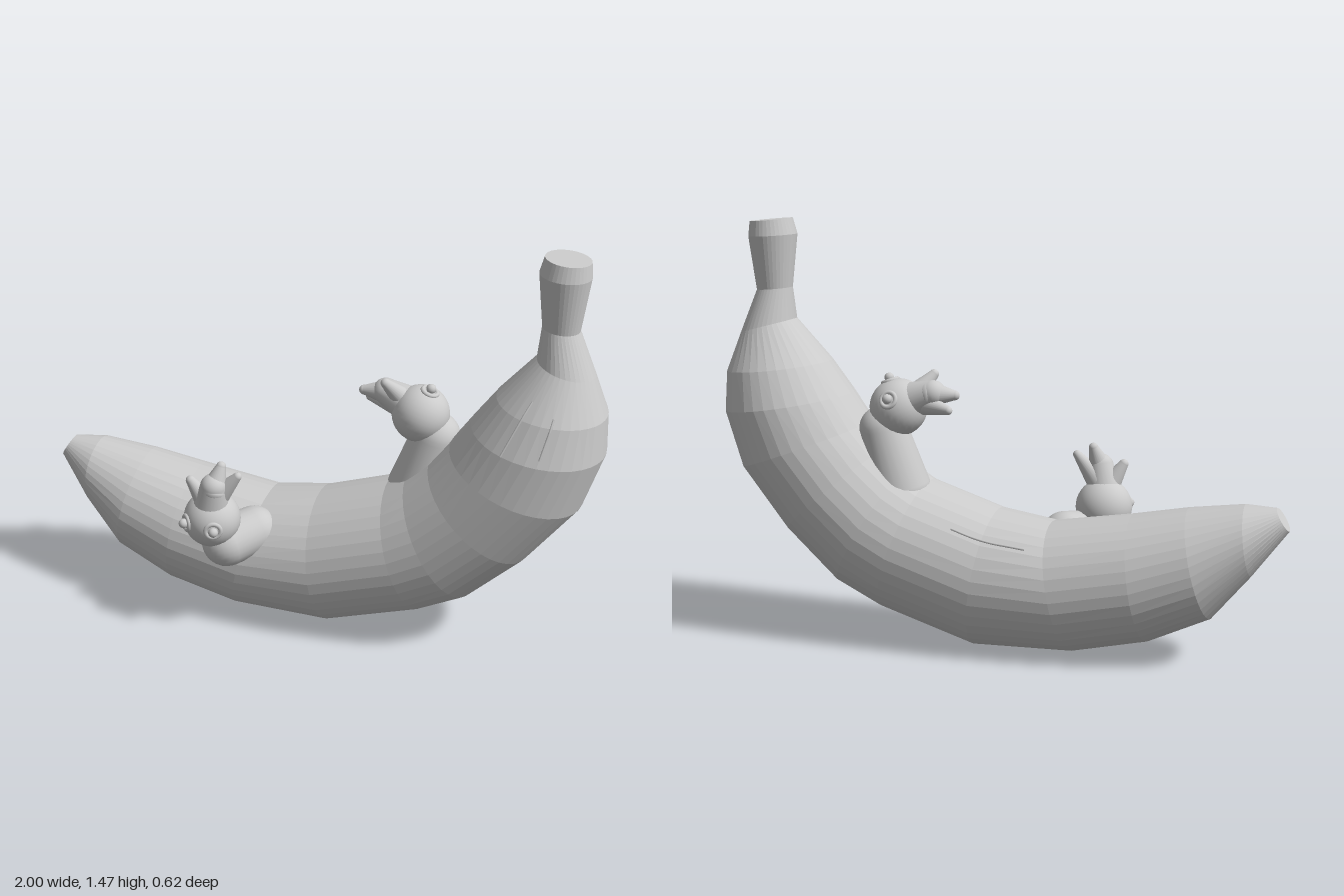
import * as THREE from 'three';

const V = (x, y, z) => new THREE.Vector3(x, y, z);
const skin = new THREE.MeshStandardMaterial({ color: 0xcccccc, flatShading: true });
const smooth = new THREE.MeshStandardMaterial({ color: 0xcccccc });
const MID_Z = -0.065;
const SIDES = 36;

// Fruit cross-sections: inner edge x, y, outer edge x, y, half width in z
const RINGS = [
  [-0.955, 0.555, -1.0, 0.48, 0.045],
  [-0.85, 0.56, -0.88, 0.32, 0.125],
  [-0.66, 0.535, -0.75, 0.165, 0.19],
  [-0.47, 0.50, -0.54, 0.07, 0.225],
  [-0.19, 0.457, -0.285, 0.016, 0.243],
  [0.0, 0.49, 0.07, 0.01, 0.25],
  [0.25, 0.575, 0.41, 0.12, 0.25],
  [0.32, 0.62, 0.57, 0.20, 0.25],
  [0.40, 0.69, 0.76, 0.38, 0.25],
  [0.47, 0.77, 0.93, 0.60, 0.25],
  [0.54, 0.87, 0.995, 0.80, 0.235],
  [0.62, 0.98, 0.99, 0.94, 0.19],
  [0.745, 1.125, 0.94, 1.075, 0.105],
  [0.755, 1.235, 0.88, 1.225, 0.064],
  [0.735, 1.42, 0.905, 1.41, 0.087],
  [0.75, 1.475, 0.90, 1.462, 0.075],
];

// Point on the fruit skin: u runs along the rings, a runs around them
function skinPoint(u, a) {
  const i = Math.min(Math.floor(u), RINGS.length - 2);
  const [ix, iy, ox, oy, w] = RINGS[i].map((v, k) => THREE.MathUtils.lerp(v, RINGS[i + 1][k], u - i));
  const c = Math.cos(a) / 2;
  return V((ix + ox) / 2 + (ix - ox) * c, (iy + oy) / 2 + (iy - oy) * c, MID_Z + w * Math.sin(a));
}

function fruitGeometry() {
  const pos = [], index = [], last = RINGS.length - 1;
  for (let i = 0; i <= last; i++)
    for (let j = 0; j < SIDES; j++) pos.push(...skinPoint(i, (j / SIDES) * Math.PI * 2).toArray());
  for (const r of [RINGS[0], RINGS[last]]) pos.push((r[0] + r[2]) / 2, (r[1] + r[3]) / 2, MID_Z);
  const startCap = (last + 1) * SIDES;
  for (let j = 0; j < SIDES; j++) {
    const k = (j + 1) % SIDES;
    for (let i = 0; i < last; i++) {
      const a = i * SIDES + j, b = i * SIDES + k;
      index.push(a, b, a + SIDES, b, b + SIDES, a + SIDES);
    }
    index.push(startCap, k, j, startCap + 1, last * SIDES + j, last * SIDES + k);
  }
  const g = new THREE.BufferGeometry();
  g.setAttribute('position', new THREE.Float32BufferAttribute(pos, 3));
  g.setIndex(index);
  g.computeVertexNormals();
  return g;
}

function add(parent, name, geometry, material = smooth) {
  const m = new THREE.Mesh(geometry, material);
  m.name = name;
  parent.add(m);
  return m;
}

// Round-ended tapered limb from a to b
function limb(parent, name, a, b, ra, rb) {
  const dir = b.clone().sub(a), len = dir.length(), pts = [];
  for (let i = 0; i <= 8; i++) {
    const t = (i / 8 - 1) * Math.PI / 2;
    pts.push(new THREE.Vector2(ra * Math.cos(t), ra * Math.sin(t)));
  }
  for (let i = 0; i <= 8; i++) {
    const t = (i / 8) * Math.PI / 2;
    pts.push(new THREE.Vector2(Math.max(0, rb * Math.cos(t)), len + rb * Math.sin(t)));
  }
  const m = add(parent, name, new THREE.LatheGeometry(pts, 24));
  m.position.copy(a);
  m.quaternion.setFromUnitVectors(V(0, 1, 0), dir.normalize());
}

// Creature head: face along local +z, crest along local +y
function head(name, centre, face, crest) {
  const g = new THREE.Group();
  g.name = name;
  const z = face.clone().normalize();
  const x = crest.clone().cross(z).normalize();
  g.quaternion.setFromRotationMatrix(new THREE.Matrix4().makeBasis(x, z.clone().cross(x), z));
  g.position.copy(centre);
  add(g, 'skull', new THREE.SphereGeometry(0.1, 32, 20));

  // Eyes: raised rim with a protruding pupil
  for (const s of [-1, 1]) {
    const dir = V(s * 0.57, 0, 0.82).normalize();
    const rim = add(g, 'eyeRim', new THREE.TorusGeometry(0.026, 0.008, 10, 24));
    rim.position.copy(dir).multiplyScalar(0.095);
    rim.quaternion.setFromUnitVectors(V(0, 0, 1), dir);
    add(g, 'pupil', new THREE.SphereGeometry(0.017, 16, 12)).position.copy(dir).multiplyScalar(0.107);
  }

  // Three-lobed crest
  limb(g, 'crestBase', V(0, 0.04, 0.01), V(0.02, 0.14, 0.025), 0.068, 0.046);
  limb(g, 'crestMiddleLobe', V(0.02, 0.13, 0.025), V(0.035, 0.212, 0), 0.046, 0.017);
  limb(g, 'crestRightLobe', V(0.02, 0.09, 0), V(0.095, 0.185, -0.01), 0.042, 0.015);
  limb(g, 'crestLeftLobe', V(-0.01, 0.07, 0.02), V(-0.06, 0.15, 0.045), 0.042, 0.017);
  return g;
}

export function createModel() {
  const model = new THREE.Group();
  add(model, 'fruit', fruitGeometry(), skin);

  // Thin scars on the skin: start, end, angle around
  for (const [u0, u1, a] of [[10, 11.4, 1.2], [10.2, 11.2, 1.75], [4.3, 5.4, -0.8]]) {
    const pts = [0, 0.25, 0.5, 0.75, 1].map((t) => skinPoint(u0 + (u1 - u0) * t, a));
    add(model, 'scar', new THREE.TubeGeometry(new THREE.CatmullRomCurve3(pts), 16, 0.004, 6));
  }

  // Creature leaning out of the front
  model.add(head('frontHead', V(-0.313, 0.46, 0.19), V(-0.2, 0.03, 0.98), V(0.02, 1, 0)));
  limb(model, 'frontNeck', V(-0.2, 0.375, 0.08), V(-0.27, 0.36, 0.165), 0.085, 0.088);

  // Creature rising from the inner curve
  model.add(head('upperHead', V(0.35, 0.835, -0.1), V(0.24, 0.82, -0.52), V(-0.97, 0.12, 0.2)));
  limb(model, 'upperNeck', V(0.35, 0.55, -0.1), V(0.405, 0.755, -0.105), 0.11, 0.085);
  return model;
}
